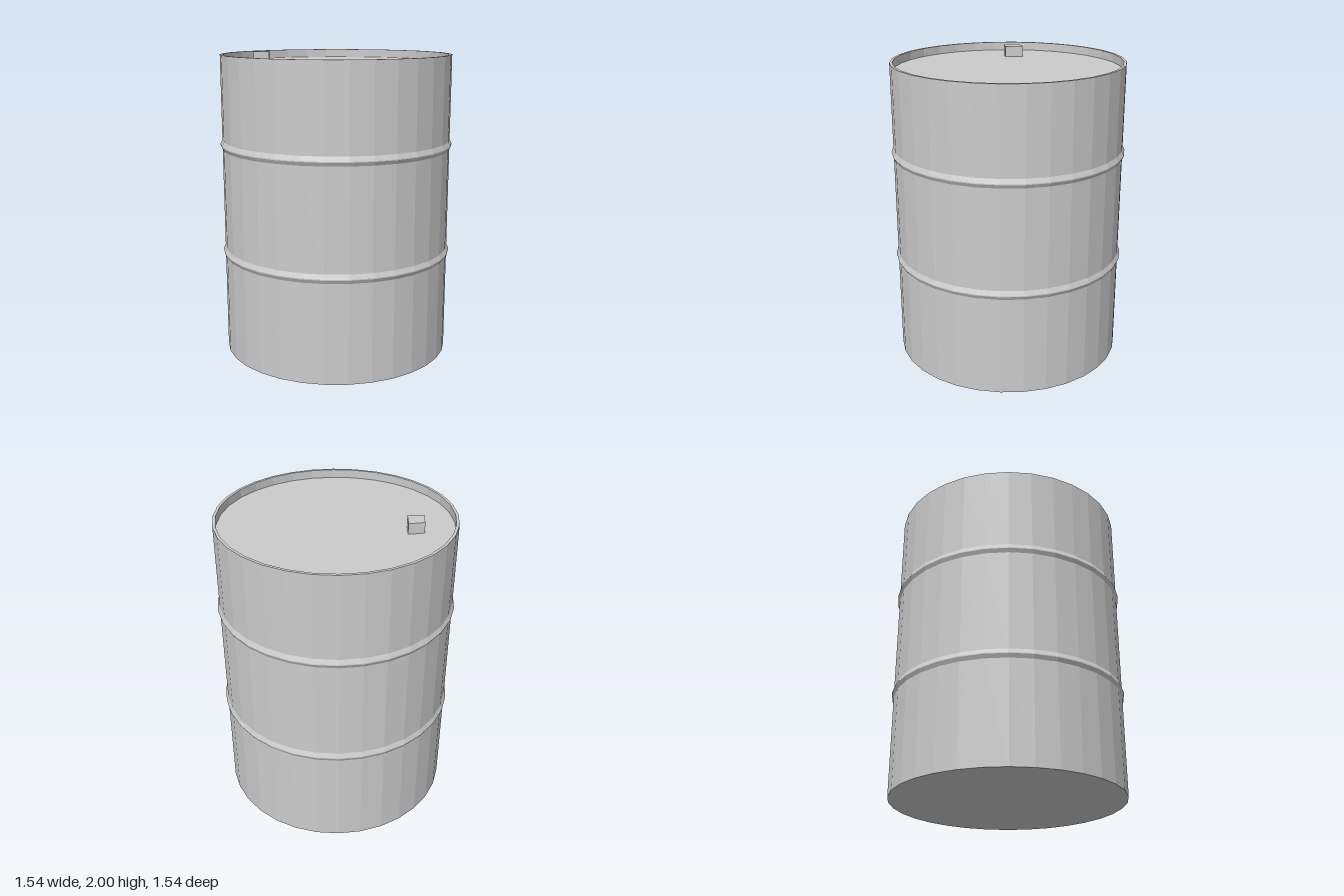
import * as THREE from 'three';

const SIDES = 32, R = 0.755, RIM_R = 0.737, TOP = 1.985, LID_Y = 1.93;

export function createModel() {
  const model = new THREE.Group();
  const material = new THREE.MeshStandardMaterial({ color: 0xcccccc, flatShading: true });

  const add = (name, geometry) => {
    const flat = geometry.index ? geometry.toNonIndexed() : geometry;
    flat.computeVertexNormals();
    const mesh = new THREE.Mesh(flat, material);
    mesh.name = name;
    model.add(mesh);
    return mesh;
  };

  // Outer wall with two raised hoops, rolled over the rim and down to the lid
  const hoop = y => [[R, y - 0.027], [0.768, y - 0.003], [0.768, y + 0.003], [R, y + 0.032]];
  const profile = [[R, 0], ...hoop(0.683), ...hoop(1.4), [R, TOP], [RIM_R, TOP], [RIM_R, LID_Y]];
  add('drumWall', new THREE.LatheGeometry(profile.map(p => new THREE.Vector2(...p)), SIDES));

  // Recessed lid and flat base
  add('lid', new THREE.CircleGeometry(RIM_R, SIDES).rotateX(-Math.PI / 2)).position.y = LID_Y;
  add('base', new THREE.CircleGeometry(R, SIDES).rotateX(Math.PI / 2));

  // Small skewed four-sided bung on the lid
  const outline = [[-0.536, -0.066], [-0.435, -0.047], [-0.454, 0.072], [-0.552, 0.039]];
  const bung = new THREE.ExtrudeGeometry(
    new THREE.Shape(outline.map(p => new THREE.Vector2(...p))),
    { depth: 2 - LID_Y, bevelEnabled: false });
  add('bung', bung.rotateX(-Math.PI / 2)).position.y = LID_Y;

  return model;
}
